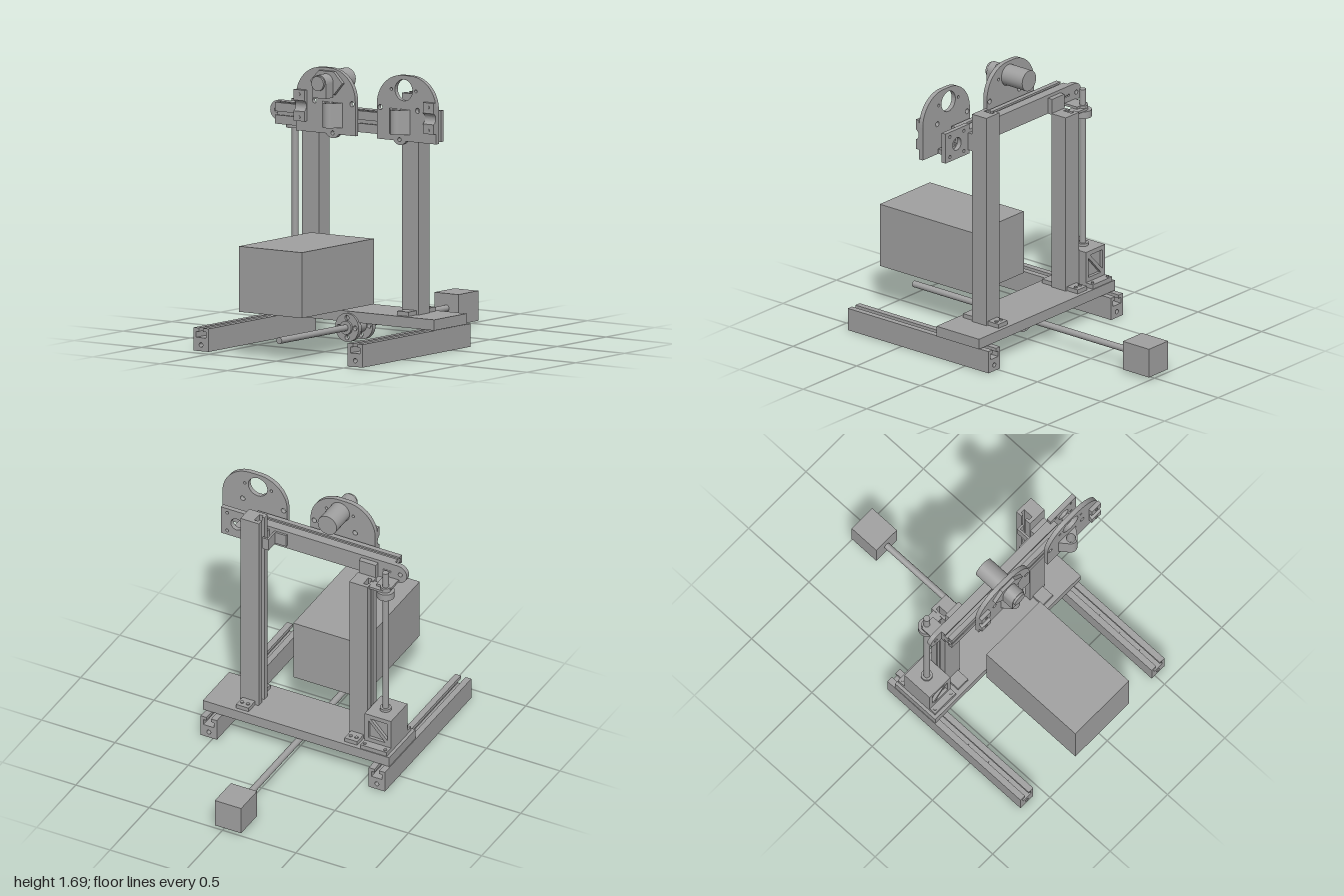
import * as THREE from 'three';

const steel = new THREE.MeshStandardMaterial({ color: 0xa0a0a0 });
steel.name = 'machine grey';

export function createModel() {
  const model = new THREE.Group();
  model.name = 'gantryMachine';

  const add = (name, geo) => {
    const m = new THREE.Mesh(geo, steel);
    m.name = name;
    model.add(m);
    return m;
  };
  // Box given by its limits
  const box = (name, x0, x1, y0, y1, z0, z1) =>
    add(name, new THREE.BoxGeometry(x1 - x0, y1 - y0, z1 - z0)
      .translate((x0 + x1) / 2, (y0 + y1) / 2, (z0 + z1) / 2));
  const cylY = (name, x, z, r, y0, y1) =>
    add(name, new THREE.CylinderGeometry(r, r, y1 - y0, 32).translate(x, (y0 + y1) / 2, z));
  const cylZ = (name, x, y, r, z0, z1) =>
    add(name, new THREE.CylinderGeometry(r, r, z1 - z0, 32).rotateX(Math.PI / 2)
      .translate(x, y, (z0 + z1) / 2));

  const poly = pts => new THREE.Shape(pts.map(p => new THREE.Vector2(p[0], p[1])));
  const arc = (cx, cy, r, a0, a1, n = 16) => Array.from({ length: n + 1 }, (_, i) => {
    const a = (a0 + (a1 - a0) * i / n) * Math.PI / 180;
    return [cx + r * Math.cos(a), cy + r * Math.sin(a)];
  });
  const hole = (shape, x, y, r) => {
    shape.holes.push(poly(arc(x, y, r, 0, 345, 23)));
    return shape;
  };
  const extrude = (shape, depth) =>
    new THREE.ExtrudeGeometry(shape, { depth, bevelEnabled: false, curveSegments: 16 });
  const alongZ = (name, shape, z0, z1) => add(name, extrude(shape, z1 - z0).translate(0, 0, z0));
  // Shape drawn in (z, y), extruded along x
  const alongX = (name, shape, x0, x1) =>
    add(name, extrude(shape, x1 - x0).rotateY(-Math.PI / 2).translate(x1, 0, 0));
  // Shape drawn in (x, z), extruded along y
  const alongY = (name, shape, y0, y1) =>
    add(name, extrude(shape, y1 - y0).rotateX(Math.PI / 2).translate(0, y1, 0));

  // Rectangle with T-slots cut into chosen sides (0 bottom, 1 right, 2 top, 3 left)
  const slotted = (cx, cy, w, h, sides, n, p, d1, d2) => {
    const pts = [];
    const notch = [[-n, 0], [-n, d1], [-p, d1], [-p, d2], [p, d2], [p, d1], [n, d1], [n, 0]];
    for (let s = 0; s < 4; s++) {
      const a = s * Math.PI / 2, c = Math.round(Math.cos(a)), k = Math.round(Math.sin(a));
      const half = (s % 2 ? w : h) / 2, len = (s % 2 ? h : w) / 2;
      const local = [[-len, 0], ...(sides.includes(s) ? notch : [])];
      for (const [t, d] of local) {
        const v = d - half;
        pts.push([cx + t * c - v * k, cy + t * k + v * c]);
      }
    }
    return poly(pts);
  };

  // Floor rails with slot on top and a bolt hole in the end
  for (const x of [-0.617, 0.528]) {
    const s = slotted(x, 0.07, 0.11, 0.14, [2], 0.016, 0.036, 0.022, 0.058);
    alongZ('floorRail', hole(s, x, 0.038, 0.014), -0.185, 0.92);
    for (const z of [0.42, 0.585, 0.75]) cylY('railBolt', x, z, 0.014, 0.08, 0.09);
  }

  // Base plate and feet brackets
  box('basePlate', -0.67, 0.6, 0.145, 0.21, -0.125, 0.21);
  for (const x of [-0.395, 0.345]) {
    box('footBracket', x - 0.043, x + 0.043, 0.21, 0.236, -0.1, -0.016);
    for (const dx of [-0.02, 0.02]) cylY('footBolt', x + dx, -0.065, 0.011, 0.236, 0.243);
    box('frontFootBracket', x - 0.043, x + 0.043, 0.21, 0.236, 0.095, 0.18);
  }

  // Posts, slotted on one side
  for (const [x, top] of [[-0.402, 1.33], [0.34, 1.55]])
    alongY('post', slotted(x, 0.04, 0.125, 0.112, [3], 0.016, 0.032, 0.016, 0.042), 0.21, top);

  // Cross beam with its backing plate
  alongX('crossBeam', slotted(0.2, 1.375, 0.085, 0.13, [0, 1, 2], 0.011, 0.024, 0.012, 0.03),
    -0.56, 0.42);
  const back = poly([[0.42, 1.32], [0.42, 1.44], ...arc(-0.595, 1.38, 0.06, 90, 270)]);
  hole(back, -0.61, 1.38, 0.014);
  for (const x of [-0.54, -0.52, -0.5]) hole(back, x, 1.38, 0.007);
  alongZ('beamBackPlate', back, 0.128, 0.158);
  box('beamSpacer', -0.46, -0.345, 1.32, 1.42, 0.095, 0.128);
  box('beamSpacer', 0.282, 0.4, 1.31, 1.42, 0.095, 0.128);
  box('angleBracketWall', 0.16, 0.245, 1.34, 1.42, 0.115, 0.128);
  box('angleBracketSide', 0.235, 0.248, 1.34, 1.42, 0.03, 0.128);
  box('angleBracketFoot', 0.235, 0.278, 1.34, 1.42, 0.03, 0.043);

  // Motor mounting plate at the beam end
  const mount = poly([[0.39, 1.285], [0.612, 1.285], [0.612, 1.475], [0.39, 1.475]]);
  hole(mount, 0.505, 1.38, 0.04);
  for (const sx of [-1, 1]) for (const sy of [-1, 1])
    hole(mount, 0.505 + sx * 0.065, 1.38 + sy * 0.065, 0.01);
  alongZ('endMountPlate', mount, 0.128, 0.158);
  box('endMountBlock', 0.49, 0.545, 1.3, 1.33, 0.158, 0.245);

  // Screw drive housing with braced windows
  box('housingBase', -0.65, -0.47, 0.21, 0.238, -0.12, 0.19);
  box('housingCore', -0.635, -0.485, 0.238, 0.42, -0.045, 0.125);
  box('housingLid', -0.65, -0.47, 0.415, 0.433, -0.065, 0.145);
  for (const x of [-0.65, -0.485]) box('housingSide', x, x + 0.015, 0.238, 0.415, -0.045, 0.125);
  for (const z of [-0.065, 0.125]) {
    const f = poly([[-0.65, 0.238], [-0.47, 0.238], [-0.47, 0.415], [-0.65, 0.415]]);
    f.holes.push(poly([[-0.625, 0.285], [-0.625, 0.405], [-0.51, 0.405]]));
    f.holes.push(poly([[-0.61, 0.265], [-0.495, 0.265], [-0.495, 0.39]]));
    alongZ('housingBrace', f, z, z + 0.02);
  }
  for (const x of [-0.63, -0.49]) for (const z of [-0.1, 0.168])
    cylY('housingBolt', x, z, 0.01, 0.238, 0.245);

  // Lead screw, collar and travelling nut
  cylY('leadScrew', -0.56, 0.035, 0.02, 0.43, 1.44);
  cylY('screwCollar', -0.56, 0.035, 0.035, 0.433, 0.45);
  cylY('leadNut', -0.56, 0.035, 0.054, 1.265, 1.31);
  cylY('nutNeck', -0.56, 0.035, 0.032, 1.31, 1.34);
  box('nutArm', -0.56, -0.45, 1.31, 1.325, 0, 0.07);
  box('nutBridge', -0.6, -0.5, 1.325, 1.34, 0.03, 0.128);

  // Twin tool heads, mirrored about x = 0.15
  for (const s of [1, -1]) {
    const X = x => 0.15 + s * (x - 0.3); // local x measured from the plate centre
    const pts = [[-0.22, 1.29], ...arc(0.05, 1.32, 0.055, 213, 327),
      [0.22, 1.29], ...arc(0.03, 1.5, 0.19, 0, 90), ...arc(-0.03, 1.5, 0.19, 90, 180)];
    const plate = poly(pts.map(([x, y]) => [X(x), y]));
    hole(plate, X(0.02), 1.6, 0.065);
    for (const [x, y, r] of [[-0.07, 1.6, 0.009], [0.112, 1.6, 0.009], [0.195, 1.483, 0.016],
      [-0.083, 1.483, 0.016], [0.052, 1.297, 0.013]]) hole(plate, X(x), y, r);
    alongZ('headPlate', plate, 0.258, 0.287);

    // Wedge shaped holder with a vertical bore
    const wedge = [[-0.025, 0.287], [0.125, 0.287], ...arc(0.05, 0.318, 0.04, 40, 140)];
    alongY('toolHolder', hole(poly(wedge.map(([x, z]) => [X(x), z])), X(0.05), 0.32, 0.028),
      1.333, 1.483);

    // Edge clamp with a horizontal round channel
    const clamp = poly([[0.287, 1.352], [0.312, 1.352], [0.312, 1.4],
      ...arc(0.325, 1.445, 0.035, 250, 110), [0.312, 1.49], [0.312, 1.542], [0.287, 1.542]]);
    const a = X(-0.22), b = X(-0.14);
    alongX('edgeClamp', clamp, Math.min(a, b), Math.max(a, b));
    for (const y of [1.375, 1.515]) cylZ('clampBolt', X(-0.18), y, 0.01, 0.312, 0.316);

    // Carriage between plate and beam
    const c = X(0.05);
    box('beamCarriage', c - 0.07, c + 0.07, 1.35, 1.4, 0.235, 0.26);
  }

  // Motor on the first head
  cylZ('motorBody', -0.13, 1.605, 0.065, 0.095, 0.27);
  alongZ('motorFlange', poly([[-0.25, 1.605], [-0.185, 1.672], [-0.075, 1.672], [-0.01, 1.605],
    [-0.075, 1.53], [-0.185, 1.53]]), 0.287, 0.31);
  alongZ('gearHousing', poly([[-0.182, 1.515], [-0.078, 1.515],
    ...arc(-0.13, 1.605, 0.052, 0, 180, 20)]), 0.31, 0.385);
  cylZ('gearCap', -0.13, 1.605, 0.045, 0.385, 0.4);

  // Counterweight arm through a flanged bearing
  cylZ('counterRod', -0.037, 0.112, 0.02, -0.8, 0.92);
  box('counterWeight', -0.127, 0.052, 0.02, 0.202, -1, -0.795);
  for (const z of [0.05, 0.195]) {
    const ring = poly(arc(-0.037, 0.112, 0.087, 0, 350, 35));
    for (const a of [0, 90, 180, 270]) {
      const r = a * Math.PI / 180;
      hole(ring, -0.037 + 0.06 * Math.cos(r), 0.112 + 0.06 * Math.sin(r), 0.015);
    }
    alongZ('bearingFlange', ring, z, z + 0.03);
  }
  cylZ('bearingBarrel', -0.037, 0.112, 0.042, 0.03, 0.24);

  // Large equipment block
  box('equipmentBlock', -0.278, 0.19, 0.277, 0.675, 0.262, 1);
  return model;
}
